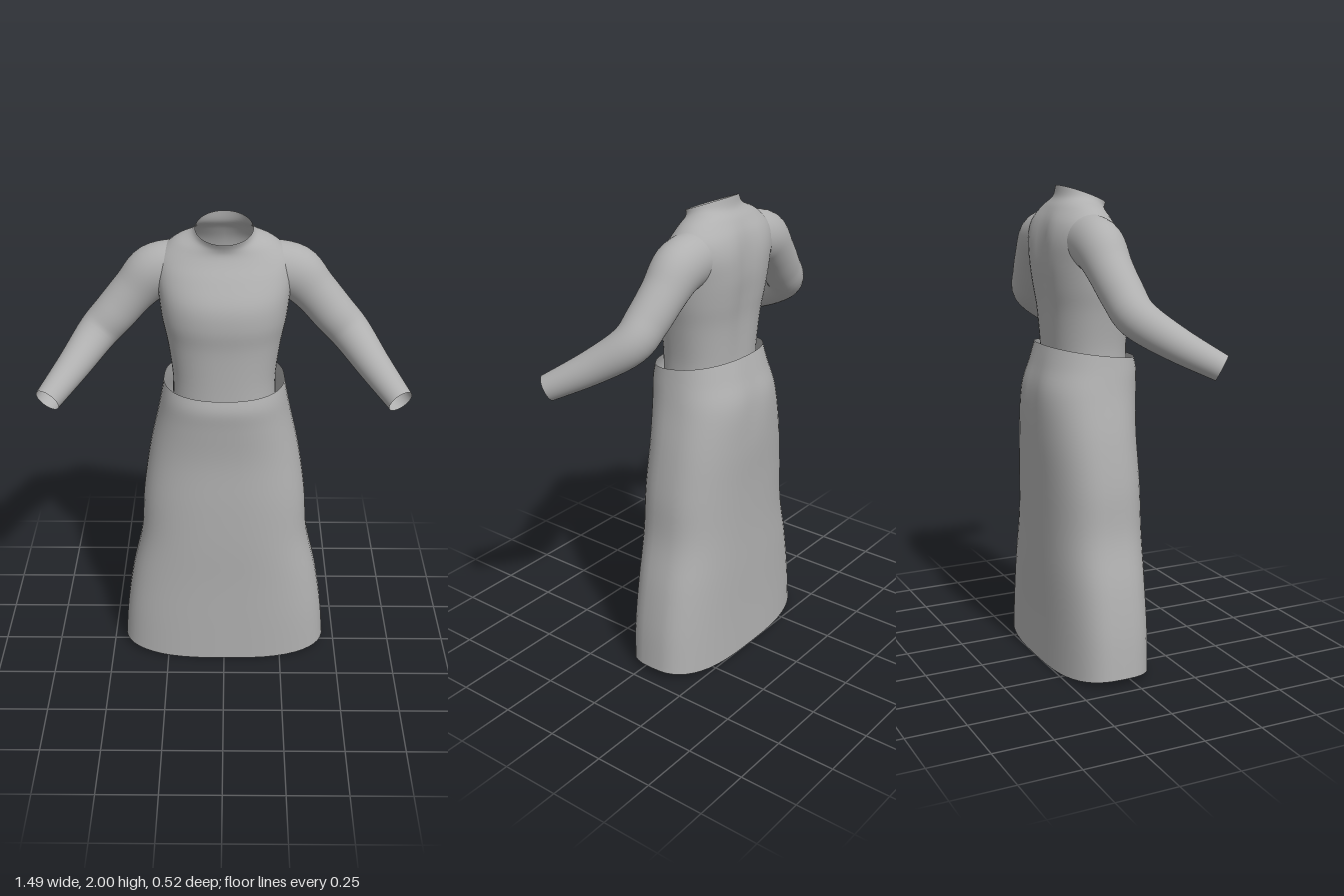
import * as THREE from 'three';

const SIDES = 48;

// Catmull-Rom blend of the rows of a table, several steps per row
function refine(rows, steps) {
  const out = [];
  const at = (i) => rows[Math.max(0, Math.min(rows.length - 1, i))];
  for (let i = 0; i < rows.length - 1; i++) {
    for (let s = 0; s < steps; s++) {
      const t = s / steps;
      out.push(rows[i].map((b, k) => {
        const a = at(i - 1)[k], c = at(i + 1)[k], d = at(i + 2)[k];
        return 0.5 * (2 * b + (c - a) * t + (2 * a - 5 * b + 4 * c - d) * t * t
          + (3 * b - a - 3 * c + d) * t * t * t);
      }));
    }
  }
  out.push(rows[rows.length - 1]);
  return out;
}

// Open tube through closed rings of points
function loft(rings) {
  const positions = [], index = [];
  rings.forEach((ring) => ring.forEach((p) => positions.push(p.x, p.y, p.z)));
  for (let i = 0; i < rings.length - 1; i++) {
    for (let j = 0; j < SIDES; j++) {
      const k = (j + 1) % SIDES;
      const a = i * SIDES + j, b = i * SIDES + k;
      index.push(a, b, b + SIDES, a, b + SIDES, a + SIDES);
    }
  }
  const geometry = new THREE.BufferGeometry();
  geometry.setAttribute('position', new THREE.Float32BufferAttribute(positions, 3));
  geometry.setIndex(index);
  geometry.computeVertexNormals();
  return geometry;
}

const angles = Array.from({ length: SIDES }, (_, j) => (j / SIDES) * Math.PI * 2);

// Rows: front y, back y, half width, front z, back z, squareness, side lift, back groove
function bodyLoft(rows) {
  return loft(refine(rows, 5).map(([yf, yb, w, zf, zb, e, lift, groove]) => angles.map((a) => {
    const s = Math.sin(a), c = Math.cos(a);
    const sx = Math.sign(s) * Math.abs(s) ** (2 / e);
    const cz = Math.sign(c) * Math.abs(c) ** (2 / e);
    const x = w * sx;
    let z = (zf + zb) / 2 + ((zf - zb) / 2) * cz;
    if (c < 0) z += groove * Math.exp(-((x / 0.06) ** 2));
    return new THREE.Vector3(x, (yf + yb) / 2 + ((yf - yb) / 2) * cz + lift * s * s, z);
  })));
}

// Rows: centre x, y, z, radius across, radius front to back
function sleeveLoft(side) {
  const rows = refine([
    [0.18, 1.79, -0.085, 0.108, 0.10],
    [0.28, 1.765, -0.085, 0.11, 0.10],
    [0.36, 1.69, -0.08, 0.093, 0.09],
    [0.44, 1.60, -0.065, 0.088, 0.085],
    [0.515, 1.52, -0.04, 0.082, 0.08],
    [0.60, 1.43, 0.075, 0.068, 0.068],
    [0.697, 1.34, 0.222, 0.053, 0.053],
  ], 5);
  const centres = rows.map((r) => new THREE.Vector3(side * r[0], r[1], r[2]));
  return loft(rows.map((r, i) => {
    const d = centres[Math.min(i + 1, rows.length - 1)].clone()
      .sub(centres[Math.max(i - 1, 0)]).normalize();
    const u = new THREE.Vector3(0, 0, 1).addScaledVector(d, -d.z).normalize();
    const v = d.clone().cross(u);
    return angles.map((a) => centres[i].clone()
      .addScaledVector(u, Math.cos(a) * r[4])
      .addScaledVector(v, Math.sin(a) * r[3]));
  }));
}

export function createModel() {
  const group = new THREE.Group();
  const cloth = new THREE.MeshStandardMaterial({ color: 0xb0b0b0, side: THREE.DoubleSide });
  cloth.name = 'greyCloth';
  const add = (name, geometry) => {
    const mesh = new THREE.Mesh(geometry, cloth);
    mesh.name = name;
    group.add(mesh);
  };

  // Long flared skirt, open at waist and hem
  add('skirt', bodyLoft([
    [0.005, 0.005, 0.45, 0.146, -0.253, 2.9, 0.03, 0],
    [0.2, 0.2, 0.435, 0.148, -0.25, 2.9, 0.01, 0],
    [0.4, 0.4, 0.405, 0.15, -0.25, 2.8, 0, 0],
    [0.6, 0.6, 0.361, 0.155, -0.25, 2.7, 0, 0],
    [0.8, 0.8, 0.346, 0.155, -0.255, 2.6, 0, 0],
    [1.0, 1.0, 0.316, 0.152, -0.264, 2.5, 0, 0],
    [1.16, 1.17, 0.28, 0.165, -0.264, 2.4, 0, 0.01],
    [1.25, 1.28, 0.26, 0.174, -0.235, 2.3, 0, 0.005],
    [1.305, 1.36, 0.248, 0.163, -0.21, 2.3, 0, 0],
  ]));

  // Fitted bodice rising to a tilted, open neck
  add('bodice', bodyLoft([
    [1.25, 1.27, 0.212, 0.135, -0.185, 2.3, 0, 0],
    [1.36, 1.36, 0.212, 0.135, -0.19, 2.3, 0, 0.008],
    [1.5, 1.5, 0.23, 0.14, -0.2, 2.3, 0, 0.015],
    [1.6, 1.6, 0.25, 0.152, -0.215, 2.3, 0, 0.02],
    [1.69, 1.7, 0.262, 0.143, -0.226, 2.3, 0, 0.02],
    [1.78, 1.79, 0.272, 0.1, -0.224, 2.3, 0, 0.02],
    [1.84, 1.86, 0.262, 0.065, -0.205, 2.2, 0, 0.012],
    [1.875, 1.915, 0.2, 0.05, -0.17, 2.1, 0.015, 0],
    [1.9, 1.955, 0.134, 0.052, -0.143, 2, 0.012, 0],
    [1.925, 2.0, 0.114, 0.063, -0.135, 2, 0, 0],
  ]));

  // Sleeves bent forward at the elbow
  add('leftSleeve', sleeveLoft(1));
  add('rightSleeve', sleeveLoft(-1));

  return group;
}
